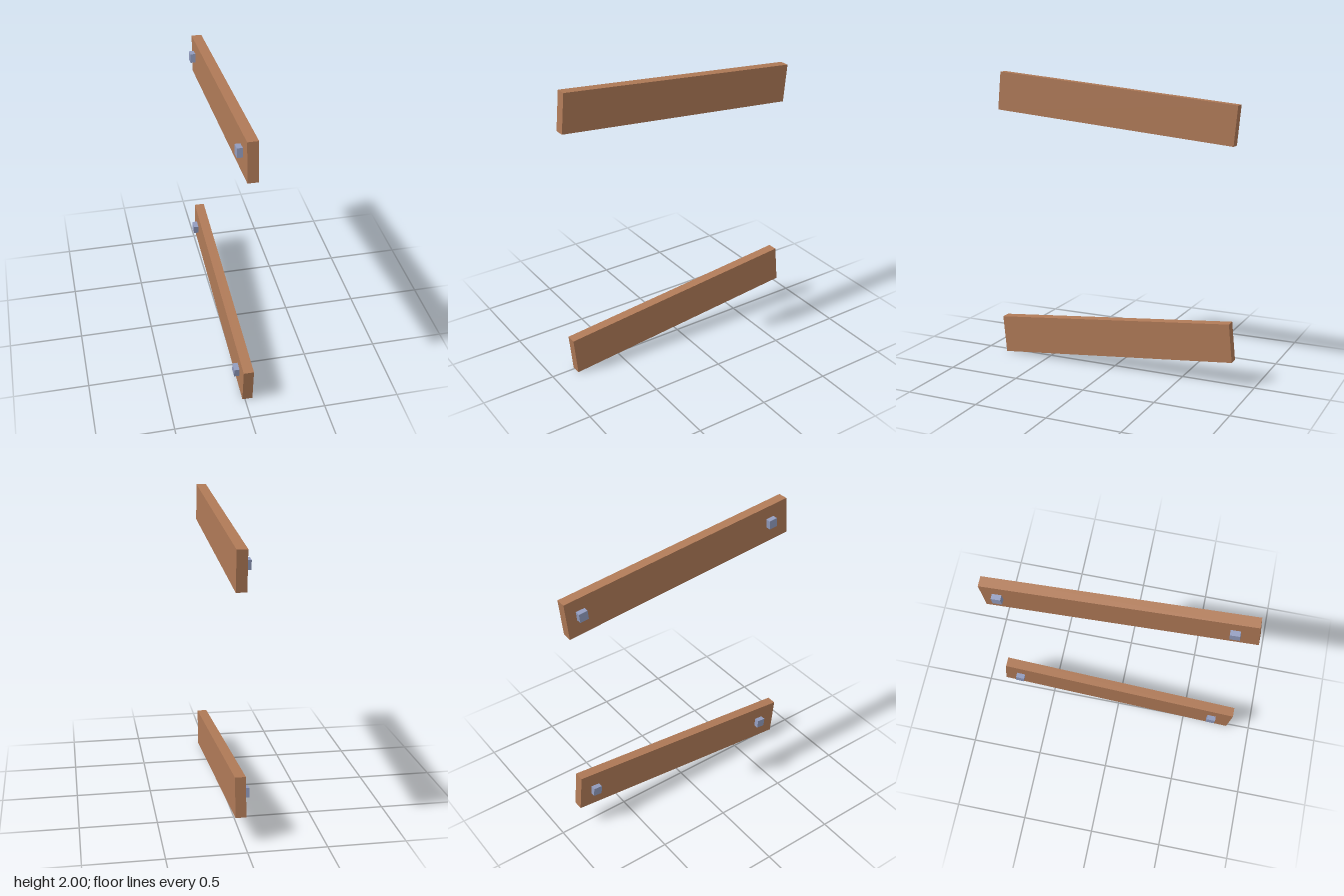
import * as THREE from 'three';

export function createModel() {
  const group = new THREE.Group();
  const wood = new THREE.MeshStandardMaterial({ color: 0xb07a57 });
  wood.name = 'brown wood';
  const metal = new THREE.MeshStandardMaterial({ color: 0x929cbe });
  metal.name = 'blue grey metal';

  const plankGeometry = new THREE.BoxGeometry(0.068, 0.259, 1.7);
  const boltGeometry = new THREE.BoxGeometry(0.036, 0.061, 0.061);

  const addBox = (name, geometry, material, x, y, z, tilt) => {
    const mesh = new THREE.Mesh(geometry, material);
    mesh.name = name;
    mesh.position.set(x, y, z);
    mesh.rotation.x = THREE.MathUtils.degToRad(tilt);
    group.add(mesh);
  };

  // Two tilted planks, each with a square bolt head near both ends: [y, z]
  const planks = [
    { name: 'upper', y: 1.791, tilt: -5.35, bolts: [[1.868, 0.705], [1.735, -0.747]] },
    { name: 'lower', y: 0.215, tilt: 5.65, bolts: [[0.155, 0.705], [0.287, -0.734]] },
  ];
  for (const p of planks) {
    addBox(p.name + 'Plank', plankGeometry, wood, 0.017, p.y, 0, p.tilt);
    p.bolts.forEach(([y, z], i) => {
      addBox(p.name + (i ? 'BackBolt' : 'FrontBolt'), boltGeometry, metal, -0.034, y, z, p.tilt);
    });
  }
  return group;
}
